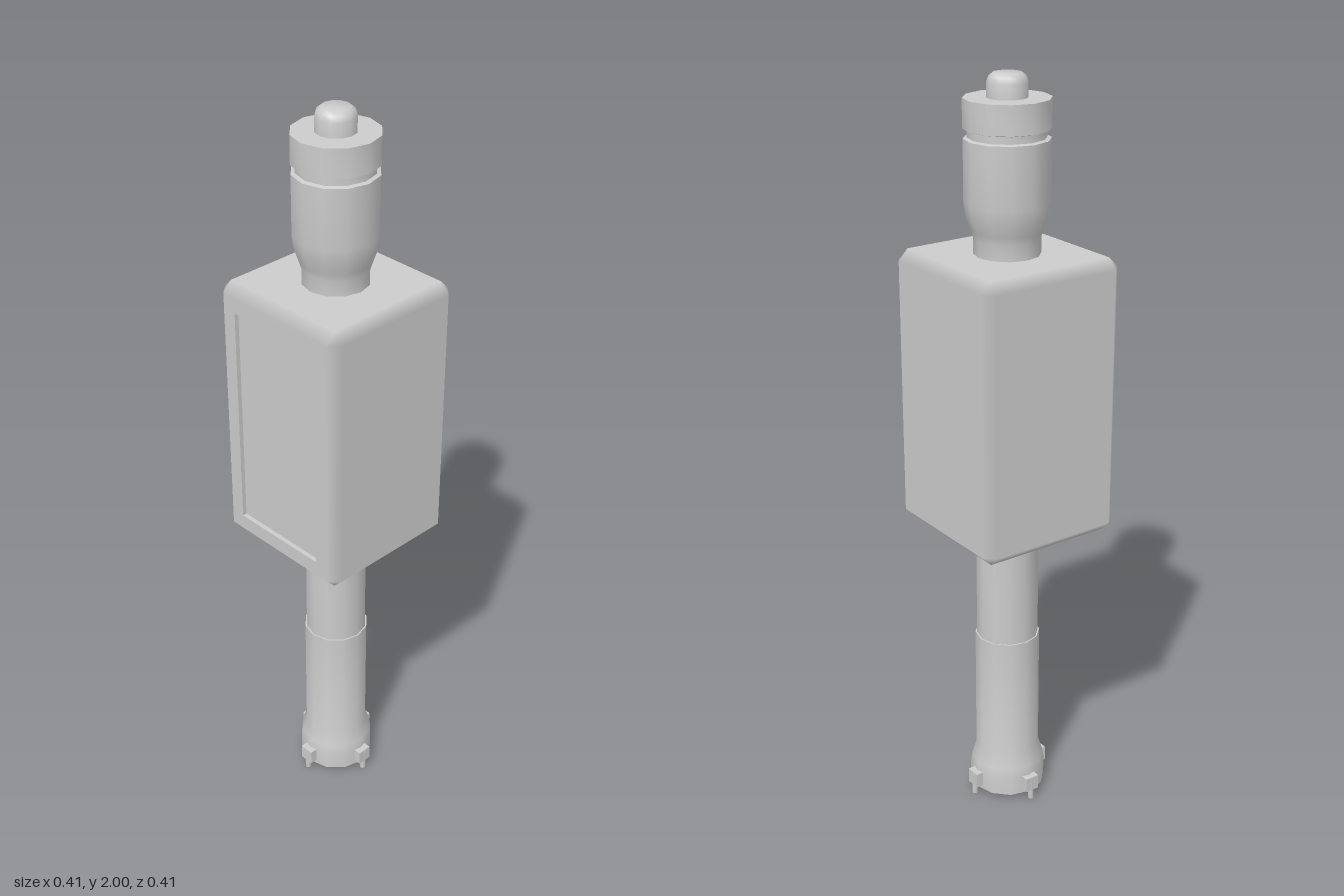
import * as THREE from 'three';
import { toCreasedNormals } from 'three/addons/utils/BufferGeometryUtils.js';

const material = new THREE.MeshStandardMaterial({ color: 0xcccccc });

function addMesh(parent, name, geometry) {
  const mesh = new THREE.Mesh(geometry, material);
  mesh.name = name;
  parent.add(mesh);
  return mesh;
}

// Twelve-sided turned part; profile is [radius, y] from bottom to top
function turned(profile) {
  const points = profile.map(([r, y]) => new THREE.Vector2(r, y));
  return toCreasedNormals(new THREE.LatheGeometry(points, 12), 0.75);
}

// Eight-point ring: a rectangle with chamfered corners; each point carries
// the normal of the side it lies on (side = 1 out, -1 in) or +-z
function ring(hw, hh, c, z, side, nz) {
  return [
    [hw, c - hh, 1, 0], [hw, hh - c, 1, 0], [hw - c, hh, 0, 1], [c - hw, hh, 0, 1],
    [-hw, hh - c, -1, 0], [-hw, c - hh, -1, 0], [c - hw, -hh, 0, -1], [hw - c, -hh, 0, -1],
  ].map(([x, y, nx, ny]) => ({
    p: new THREE.Vector3(x, y, z),
    n: new THREE.Vector3(nx * side, ny * side, nz),
  }));
}

// Skins pairs of rings, leaving out collapsed triangles
function skin(bands) {
  const positions = [], normals = [];
  for (const [a, b] of bands) {
    for (let i = 0; i < 8; i++) {
      const j = (i + 1) % 8;
      for (const tri of [[a[i], a[j], b[j]], [a[i], b[j], b[i]]]) {
        if (new THREE.Triangle(tri[0].p, tri[1].p, tri[2].p).getArea() < 1e-8) continue;
        for (const v of tri) {
          positions.push(...v.p.toArray());
          normals.push(...v.n.toArray());
        }
      }
    }
  }
  const geometry = new THREE.BufferGeometry();
  geometry.setAttribute('position', new THREE.Float32BufferAttribute(positions, 3));
  geometry.setAttribute('normal', new THREE.Float32BufferAttribute(normals, 3));
  return geometry;
}

export function createModel() {
  const model = new THREE.Group();
  model.name = 'device';

  // Bevelled housing with a shallow recessed panel on the front
  const W = 0.206, H = 0.37, C = 0.027, PW = 0.14, PH = 0.302, floorZ = W - 0.012;
  const backRim = ring(W - C, H - C, 0, -W, 0, -1);
  const backSide = ring(W, H, C, C - W, 1, 0);
  const frontSide = ring(W, H, C, W - C, 1, 0);
  const frontRim = ring(W - C, H - C, 0, W, 0, 1);
  const housing = addMesh(model, 'housing', skin([
    [ring(0, 0, 0, -W, 0, -1), backRim],
    [backRim, backSide],
    [backSide, frontSide],
    [frontSide, frontRim],
    [frontRim, ring(PW, PH, 0, W, 0, 1)],
    [ring(PW, PH, 0, W, -1, 0), ring(PW, PH, 0, floorZ, -1, 0)],
    [ring(PW, PH, 0, floorZ, 0, 1), ring(0, 0, 0, floorZ, 0, 1)],
  ]));
  housing.position.y = 1.19;

  // Stem: flared base, lower sleeve and slimmer upper tube
  addMesh(model, 'lowerStem', turned([
    [0, 0.015], [0.104, 0.015], [0.104, 0.07], [0.1, 0.095], [0.088, 0.135],
    [0.088, 0.49], [0.084, 0.49], [0.083, 0.83],
  ]));
  addMesh(model, 'stemCollar', turned([
    [0.083, 0.807], [0.1, 0.807], [0.135, 0.82], [0.135, 0.83],
  ]));

  // Neck, grooved head and its cap
  addMesh(model, 'head', turned([
    [0.085, 1.55], [0.085, 1.6], [0.091, 1.62], [0.103, 1.655], [0.108, 1.69],
    [0.108, 1.845], [0.098, 1.848], [0.098, 1.866], [0.109, 1.869],
    [0.109, 1.942], [0, 1.942],
  ]));
  addMesh(model, 'topButton', turned([
    [0.051, 1.935], [0.051, 1.978], [0.046, 1.992], [0.036, 2], [0, 2],
  ]));

  // Four clips with pins around the base
  for (let i = 0; i < 4; i++) {
    const foot = new THREE.Group();
    foot.name = 'foot' + (i + 1);
    foot.rotation.y = i * Math.PI / 2;
    addMesh(foot, 'clip', new THREE.BoxGeometry(0.04, 0.042, 0.024)).position.set(0, 0.049, 0.108);
    addMesh(foot, 'pin', new THREE.CylinderGeometry(0.008, 0.008, 0.066, 8)).position.set(0, 0.033, 0.113);
    model.add(foot);
  }
  return model;
}
